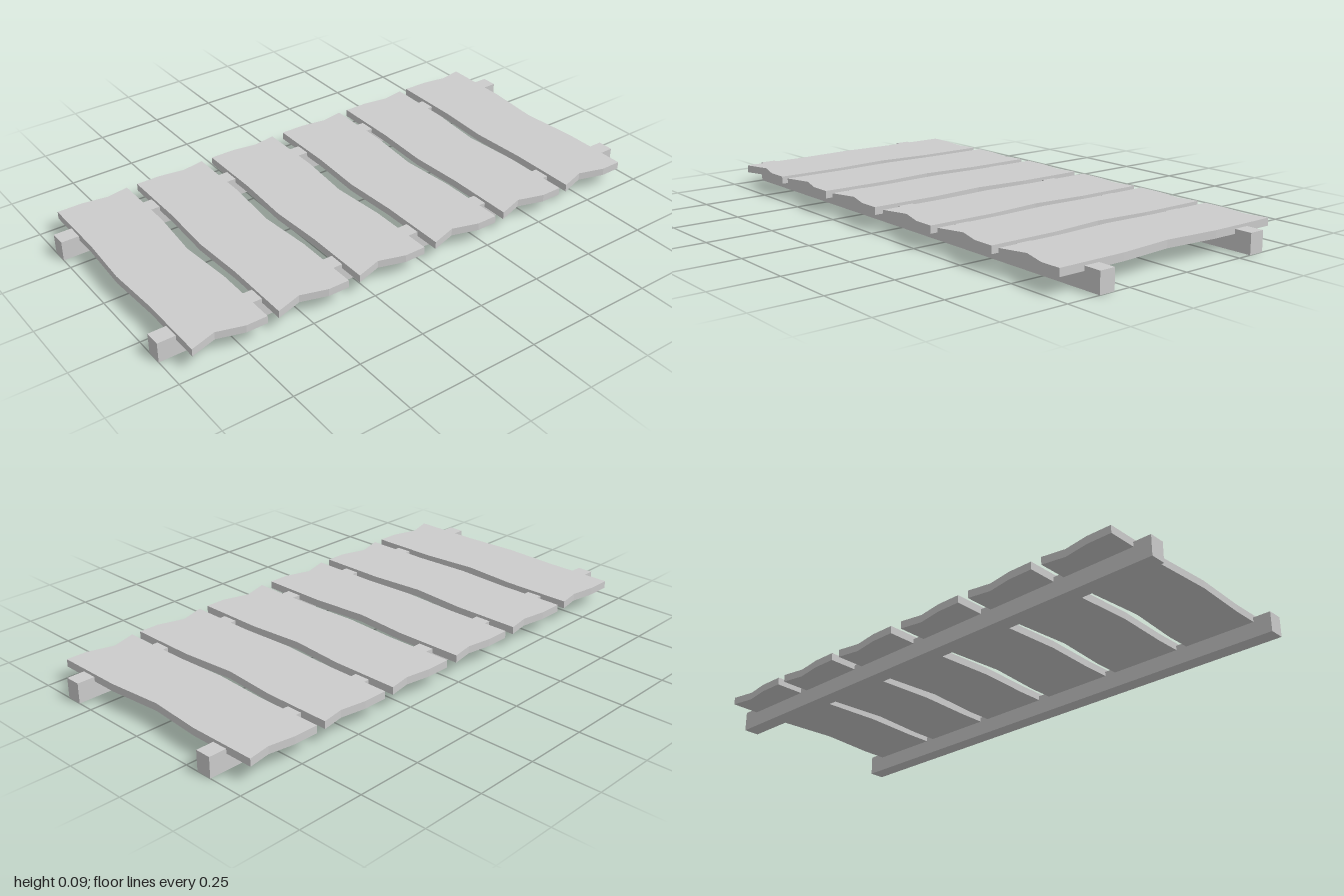
import * as THREE from 'three';

const material = new THREE.MeshStandardMaterial({ color: 0xcccccc, flatShading: true });

// Outline of one warped plank as [x, z], centred on x = 0
const OUTLINE = [
  [-0.138, 0.472], [-0.04, 0.442], [0.058, 0.472], [0.138, 0.472],
  [0.138, 0.21], [0.12, 0], [0.138, -0.21], [0.138, -0.472],
  [0.052, -0.457], [-0.045, -0.472], [-0.138, -0.472],
  [-0.138, -0.21], [-0.149, 0], [-0.138, 0.21],
];

function plankGeometry() {
  const shape = new THREE.Shape(OUTLINE.map(([x, z]) => new THREE.Vector2(x, -z)));
  const geometry = new THREE.ExtrudeGeometry(shape, { depth: 0.028, bevelEnabled: false });
  return geometry.rotateX(-Math.PI / 2); // lay flat, thickness along +y
}

export function createModel() {
  const model = new THREE.Group();
  model.name = 'plankWalkway';

  // Two long rails carrying the planks
  const railGeometry = new THREE.BoxGeometry(2, 0.075, 0.06);
  [['frontRail', 0.343], ['backRail', -0.333]].forEach(([name, z]) => {
    const rail = new THREE.Mesh(railGeometry, material);
    rail.name = name;
    rail.position.set(0, 0.0375, z);
    model.add(rail);
  });

  // Six planks, slightly unevenly spaced and let into the rails
  const geometry = plankGeometry();
  [-0.795, -0.477, -0.156, 0.17, 0.484, 0.795].forEach((x, i) => {
    const plank = new THREE.Mesh(geometry, material);
    plank.name = `plank${i + 1}`;
    plank.position.set(x, 0.058, 0);
    model.add(plank);
  });

  return model;
}
